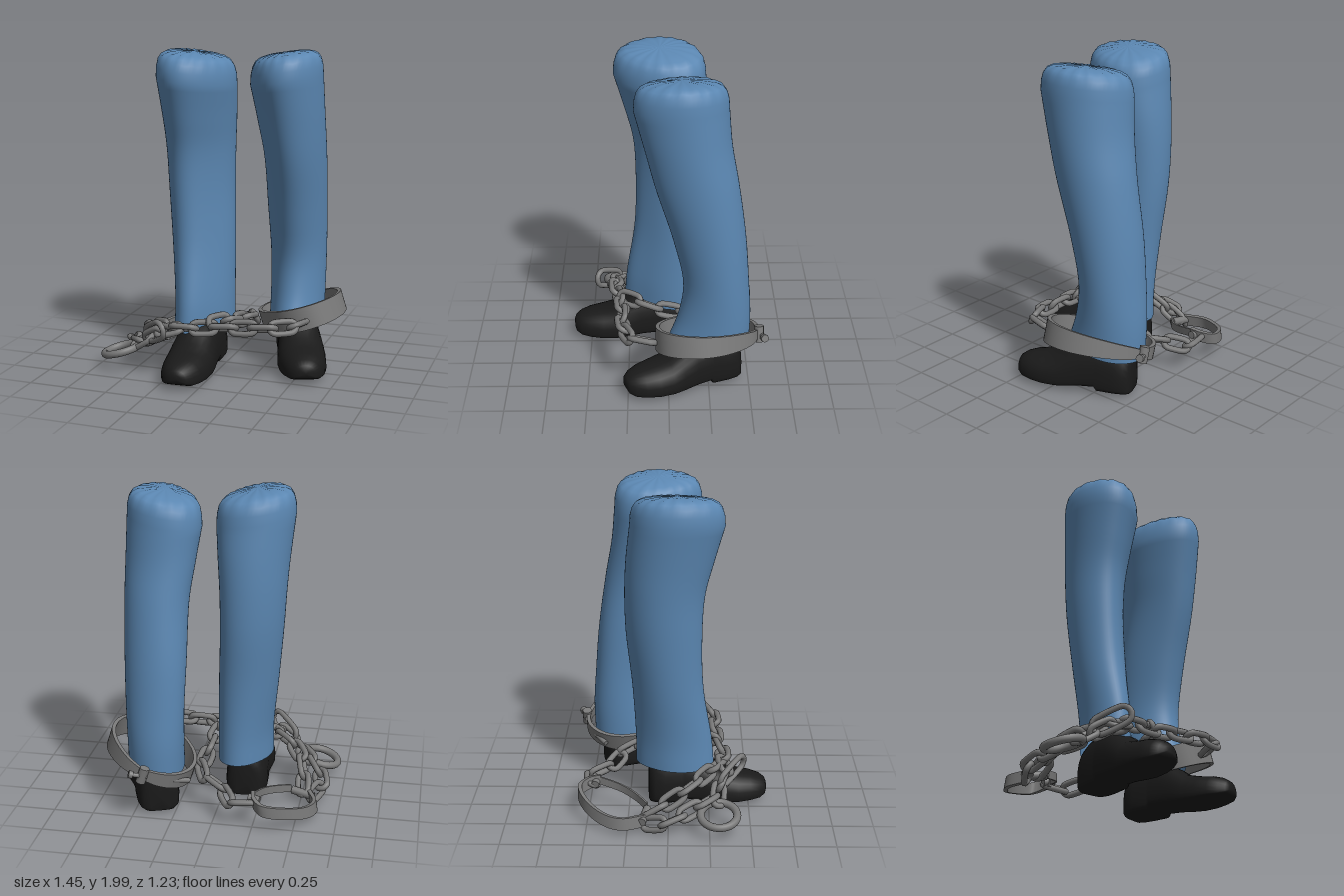
import * as THREE from 'three';
import { toCreasedNormals } from 'three/addons/utils/BufferGeometryUtils.js';

const V = (x, y, z) => new THREE.Vector3(x, y, z);

// Skin a list of closed rings (equal point counts), capped with fans where asked
function loft(rings, capStart, capEnd) {
  const n = rings[0].length, pos = [], idx = [];
  rings.forEach(r => r.forEach(p => pos.push(p.x, p.y, p.z)));
  for (let j = 0; j < rings.length - 1; j++) {
    for (let i = 0; i < n; i++) {
      const a = j * n + i, b = j * n + (i + 1) % n;
      idx.push(a, a + n, b, b, a + n, b + n);
    }
  }
  const cap = (j, last) => {
    const c = V(0, 0, 0);
    rings[j].forEach(p => c.addScaledVector(p, 1 / n));
    const ci = pos.length / 3;
    pos.push(c.x, c.y, c.z);
    for (let i = 0; i < n; i++) {
      const a = j * n + i, b = j * n + (i + 1) % n;
      if (last) idx.push(ci, b, a); else idx.push(ci, a, b);
    }
  };
  if (capStart) cap(0, false);
  if (capEnd) cap(rings.length - 1, true);
  const g = new THREE.BufferGeometry();
  g.setAttribute('position', new THREE.Float32BufferAttribute(pos, 3));
  g.setIndex(idx);
  g.computeVertexNormals();
  return g;
}

// Egg outline, stretched along a diagonal by skew and fitted to a -1..1 box
function eggOutline(skew, n) {
  const pts = [];
  for (let i = 0; i < n; i++) {
    const t = i / n * Math.PI * 2, c = Math.cos(t), s = Math.sin(t), r = 1 + skew * Math.sin(2 * t);
    pts.push([r * c * (1 - 0.15 * s), r * s]);
  }
  const fit = k => {
    const v = pts.map(p => p[k]), lo = Math.min(...v), hi = Math.max(...v);
    return a => (2 * a - lo - hi) / (hi - lo);
  };
  const fx = fit(0), fz = fit(1);
  return pts.map(([x, z]) => [fx(x), fz(z)]);
}

// Trouser leg: rows of [y, xMin, xMax, zMin, zMax], closed on top by a gathered dome
function trouserLeg(rows, skewLow, skewTop, topTilt, cuffTilt) {
  const N = 64, rings = [];
  const ring = (y, [x0, x1, z0, z1], scale, skew, tiltX, tiltZ, pleat) =>
    eggOutline(skew, N).map(([ex, ez], i) => {
      const dx = ex * scale * (x1 - x0) / 2, dz = ez * scale * (z1 - z0) / 2;
      const ripple = pleat * Math.cos(i / N * Math.PI * 32);
      return V((x0 + x1) / 2 + dx, y + tiltX * dx + tiltZ * dz + ripple, (z0 + z1) / 2 + dz);
    });
  const tracks = [1, 2, 3, 4].map(k =>
    new THREE.CatmullRomCurve3(rows.map(r => V(r[0], r[k], 0))));
  const steps = 28;
  for (let j = 0; j <= steps; j++) {
    const u = j / steps, q = tracks.map(c => c.getPoint(u));
    rings.push(ring(q[0].x, q.map(p => p.y), 1, THREE.MathUtils.lerp(skewLow, skewTop, u),
      topTilt * Math.max(0, u - 0.85) / 0.15, cuffTilt * Math.max(0, 1 - u * 5), 0));
  }
  const [y, ...box] = rows[rows.length - 1];
  for (const [k, h] of [[0.985, 0.06], [0.94, 0.105], [0.86, 0.135], [0.72, 0.155], [0.45, 0.168], [0.06, 0.172]]) {
    rings.push(ring(y + h, box, k, skewTop, topTilt, 0, k < 0.95 ? 0.004 * k : 0));
  }
  return loft(rings, false, true);
}

// Shoe, toe first: [z, half width, sole y, top y]
function shoe() {
  const rows = [[0.745, 0.03, 0.08, 0.12], [0.735, 0.065, 0.06, 0.145], [0.70, 0.1, 0.045, 0.17],
    [0.64, 0.128, 0.04, 0.19], [0.56, 0.146, 0.035, 0.205], [0.47, 0.152, 0.035, 0.23],
    [0.40, 0.148, 0.04, 0.28], [0.31, 0.138, 0.05, 0.335], [0.22, 0.133, 0.055, 0.36],
    [0.205, 0.133, 0.03, 0.36], [0.1, 0.133, 0.03, 0.345], [0.04, 0.122, 0.03, 0.32],
    [0.01, 0.1, 0.03, 0.29], [0, 0.06, 0.035, 0.25]];
  const sp = (v, e) => Math.sign(v) * Math.abs(v) ** e;
  return loft(rows.map(([z, w, lo, hi]) => {
    const mid = lo + (hi - lo) * 0.25, pts = [];
    for (let i = 0; i < 28; i++) {
      const t = i / 28 * Math.PI * 2, c = Math.cos(t), s = Math.sin(t);
      pts.push(s >= 0 ? V(w * sp(c, 0.9), mid + (hi - mid) * s ** 0.9, z)
        : V(w * sp(c, 0.45), mid + (mid - lo) * sp(s, 0.45), z));
    }
    return pts;
  }), true, true);
}

// Flat iron strap along a path; height is a function of the position along it
function strap(points, up, height, thick, steps) {
  const curve = new THREE.CatmullRomCurve3(points), rings = [];
  for (let j = 0; j <= steps; j++) {
    const u = j / steps, p = curve.getPoint(u), t = curve.getTangent(u);
    const s = t.clone().cross(up).normalize(), h = height(u) / 2, w = thick / 2;
    rings.push([[w, -h], [w, h], [-w, h], [-w, -h]].map(([a, b]) =>
      p.clone().addScaledVector(s, a).addScaledVector(up, b)));
  }
  return toCreasedNormals(loft(rings, true, true), 0.7);
}

// Oval chain link lying in its own xy plane, long along x
function linkGeometry(halfLength, halfWidth, wire) {
  const pts = [], straight = halfLength - halfWidth;
  for (let i = 0; i < 16; i++) {
    const t = (i + 0.5) / 16 * Math.PI * 2, c = Math.cos(t);
    pts.push(V(Math.sign(c) * straight + halfWidth * c, halfWidth * Math.sin(t), 0));
  }
  return new THREE.TubeGeometry(new THREE.CatmullRomCurve3(pts, true), 32, wire, 8, true);
}

export function createModel() {
  const model = new THREE.Group();
  const material = (name, color, side = THREE.FrontSide) => {
    const m = new THREE.MeshStandardMaterial({ color, side });
    m.name = name;
    return m;
  };
  const denim = material('blue denim', 0x5b87b2, THREE.DoubleSide);
  const leather = material('black leather', 0x1a1a1a);
  const iron = material('grey iron', 0x787878);
  const add = (name, geo, mat, parent = model) => {
    const m = new THREE.Mesh(geo, mat);
    m.name = name;
    parent.add(m);
    return m;
  };

  // Trouser legs
  add('rightTrouserLeg', trouserLeg([
    [0.27, -0.30, 0.03, -0.21, 0.28], [0.45, -0.30, 0.03, -0.21, 0.265], [0.8, -0.335, 0.025, -0.23, 0.21],
    [1.15, -0.365, 0.015, -0.265, 0.2], [1.4, -0.38, 0.02, -0.27, 0.215], [1.6, -0.395, 0.035, -0.26, 0.265],
    [1.82, -0.42, 0.05, -0.235, 0.33]], -0.17, -0.06, -0.13, 0), denim);
  add('leftTrouserLeg', trouserLeg([
    [0.29, 0.21, 0.56, -0.50, 0.0], [0.48, 0.205, 0.56, -0.505, -0.06], [0.7, 0.2, 0.565, -0.49, -0.09],
    [1.0, 0.19, 0.575, -0.465, -0.03], [1.35, 0.185, 0.585, -0.415, 0.075], [1.6, 0.15, 0.585, -0.37, 0.14],
    [1.82, 0.12, 0.58, -0.35, 0.2]], 0.05, 0.07, 0.15, 0.1), denim);

  // Shoes, toes turned out
  for (const [name, x, z, turn] of [['rightShoe', -0.15, -0.13, 0.06], ['leftShoe', 0.335, -0.43, 0.36]]) {
    const s = add(name, shoe(), leather);
    s.position.set(x, 0, z);
    s.rotation.y = turn;
  }

  // Closed shackle, tilted around the left ankle
  const shackle = new THREE.Group();
  shackle.name = 'closedShackle';
  shackle.position.set(0.43, 0.345, -0.24);
  shackle.rotation.z = 0.31;
  model.add(shackle);
  const loop = [];
  for (let i = 0; i <= 24; i++) {
    const t = -Math.PI / 2 + i / 24 * Math.PI * 2, r = 1 + 0.12 * Math.sin(2 * t);
    loop.push(V(0.273 * r * Math.cos(t), 0, 0.3 * r * Math.sin(t)));
  }
  add('shackleBand', strap(loop, V(0, 1, 0),
    u => 0.055 + 0.09 * Math.sin(Math.PI * u) ** 0.7, 0.024, 64), iron, shackle);
  const rod = (name, a, b, r, parent = model) => {
    const m = add(name, new THREE.CylinderGeometry(r, r, a.distanceTo(b), 12), iron, parent);
    m.position.copy(a).lerp(b, 0.5);
    m.quaternion.setFromUnitVectors(V(0, 1, 0), b.clone().sub(a).normalize());
  };
  rod('shackleHinge', V(-0.02, -0.05, -0.32), V(-0.02, 0.05, -0.32), 0.03, shackle);
  rod('lockBolt', V(-0.05, 0, -0.32), V(0.05, -0.01, -0.35), 0.014, shackle);
  rod('boltHead', V(0.035, -0.01, -0.345), V(0.06, -0.01, -0.352), 0.024, shackle);
  rod('shacklePin', V(-0.29, 0, -0.18), V(-0.2, 0, -0.25), 0.016, shackle);

  // Open shackle lying behind the right foot
  add('openShackleBand', strap([V(-0.25, 0.19, -0.43), V(-0.265, 0.18, -0.5), V(-0.32, 0.16, -0.55),
    V(-0.45, 0.13, -0.51), V(-0.57, 0.09, -0.39), V(-0.61, 0.08, -0.28), V(-0.56, 0.08, -0.14)],
  V(0.15, 0.98, 0).normalize(), () => 0.075, 0.024, 40), iron);
  add('openShackleArm', strap([V(-0.25, 0.19, -0.43), V(-0.29, 0.16, -0.3), V(-0.35, 0.135, -0.21),
    V(-0.44, 0.11, -0.13)], V(0, 1, 0), () => 0.05, 0.012, 20), iron);
  rod('openShackleHinge', V(-0.29, 0.18, -0.46), V(-0.22, 0.19, -0.45), 0.025);
  rod('openShackleEnd', V(-0.59, 0.08, -0.16), V(-0.45, 0.1, -0.13), 0.026);

  // Chains: links strung along a path, every other one turned a quarter
  const link = linkGeometry(0.08, 0.036, 0.019);
  const chain = (name, points) => {
    const curve = new THREE.CatmullRomCurve3(points.map(p => V(...p)));
    const count = Math.round(curve.getLength() / 0.128), group = new THREE.Group();
    group.name = name;
    for (let i = 0; i < count; i++) {
      const u = (i + 0.5) / count, t = curve.getTangentAt(u);
      const side = t.clone().cross(V(0, 1, 0)).normalize(), up = side.clone().cross(t);
      const m = add('chainLink', link, iron, group);
      m.quaternion.setFromRotationMatrix(new THREE.Matrix4().makeBasis(t, up, side));
      m.rotateX(i % 2 ? 0.5 : 0.5 + Math.PI / 2);
      m.position.copy(curve.getPointAt(u));
    }
    model.add(group);
  };
  chain('frontChain', [[0.53, 0.36, 0.1], [0.48, 0.37, 0.24], [0.35, 0.36, 0.28], [0.2, 0.35, 0.29],
    [0.05, 0.34, 0.3], [-0.1, 0.33, 0.33], [-0.22, 0.33, 0.34]]);
  chain('backChain', [[-0.26, 0.17, -0.48], [-0.12, 0.17, -0.48], [-0.03, 0.2, -0.36], [0.1, 0.25, -0.27],
    [0.1, 0.29, -0.12], [0.09, 0.32, 0.05], [0.05, 0.36, 0.22], [0.0, 0.36, 0.3]]);
  chain('sideChain', [[-0.2, 0.31, 0.33], [-0.34, 0.29, 0.24], [-0.45, 0.25, 0.13], [-0.5, 0.17, 0.0],
    [-0.52, 0.09, -0.14]]);
  chain('looseChain', [[-0.46, 0.19, 0.28], [-0.56, 0.15, 0.14], [-0.62, 0.1, 0.0], [-0.57, 0.06, -0.14]]);
  chain('ringChain', [[-0.5, 0.17, 0.3], [-0.42, 0.22, 0.31], [-0.3, 0.29, 0.35], [-0.2, 0.32, 0.33]]);

  // Long connecting link and the big end ring
  const longLink = add('longLink', linkGeometry(0.12, 0.05, 0.018), iron);
  longLink.position.set(-0.33, 0.3, 0.39);
  longLink.rotation.set(0.2, -0.65, 0.55);
  const ring = add('endRing', new THREE.TorusGeometry(0.11, 0.024, 12, 40), iron);
  ring.position.set(-0.59, 0.135, 0.305);
  ring.rotation.set(Math.PI / 2, 0.27, 0);

  return model;
}
